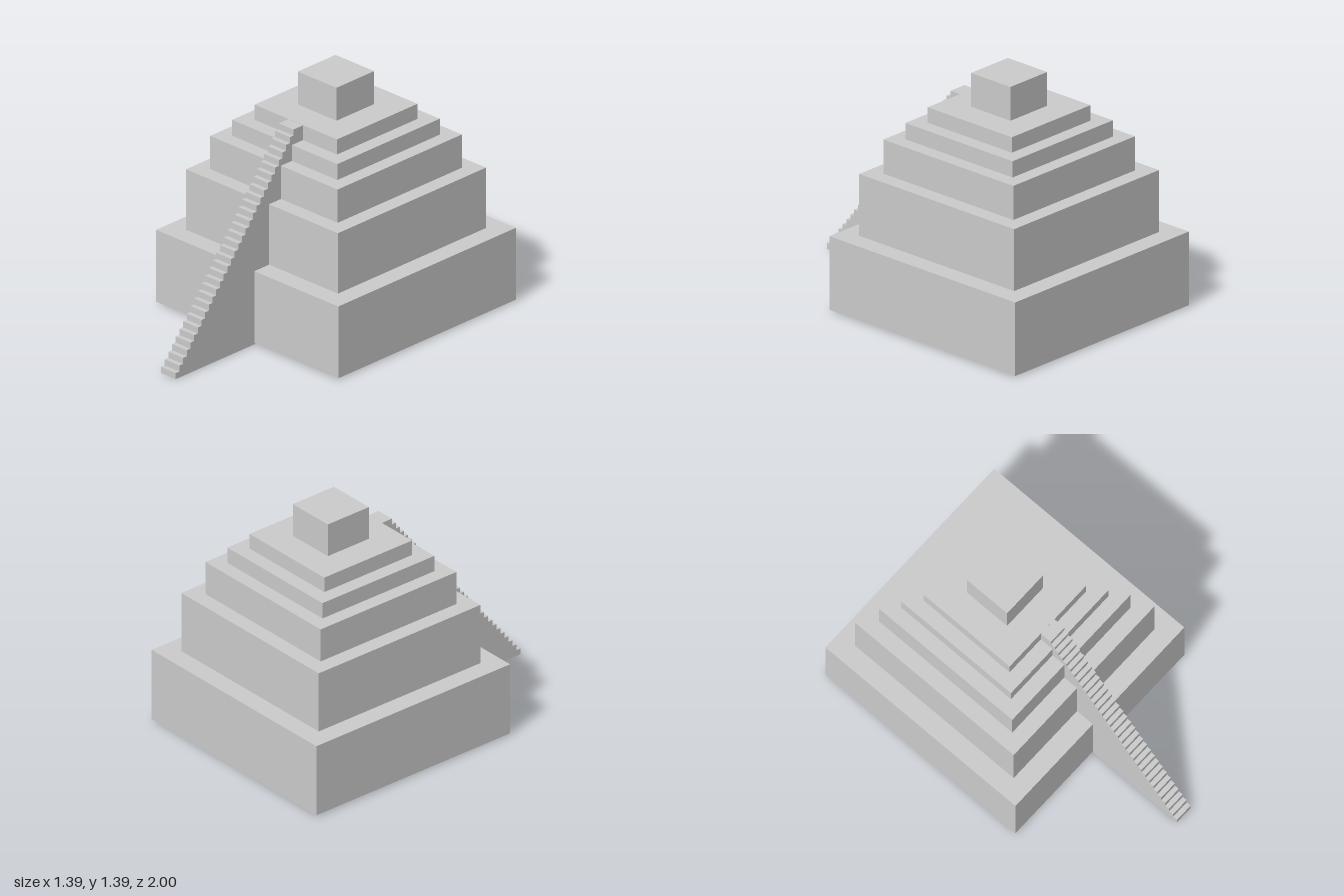
import * as THREE from 'three';

export function createModel() {
  const group = new THREE.Group();
  const material = new THREE.MeshStandardMaterial({ color: 0xcccccc, flatShading: true });
  const centreZ = -0.307;

  // Square terraces and the shrine on top: [half width, bottom, top]
  const tiers = [
    [0.693, 0.008, 0.442],
    [0.578, 0.442, 0.807],
    [0.485, 0.807, 1.008],
    [0.4, 1.008, 1.104],
    [0.314, 1.104, 1.195],
    [0.147, 1.195, 1.394],
  ];
  tiers.forEach(([half, bottom, top], i) => {
    const tier = new THREE.Mesh(new THREE.BoxGeometry(half * 2, top - bottom, half * 2), material);
    tier.position.set(0, (bottom + top) / 2, centreZ);
    tier.name = i === tiers.length - 1 ? 'shrine' : `terrace${i + 1}`;
    group.add(tier);
  });

  // Solid staircase: stepped side profile (x = forward, y = up) extruded across its width
  const steps = 33, height = 1.193, front = 1, landing = 0.08, width = 0.112;
  const rise = height / steps, run = (front - landing) / (steps - 1);
  const profile = new THREE.Shape();
  profile.moveTo(0, 0);
  profile.lineTo(front, 0);
  for (let i = 0; i < steps; i++) {
    const z = front - i * run;
    profile.lineTo(z, (i + 1) * rise);
    profile.lineTo(i === steps - 1 ? 0 : z - run, (i + 1) * rise);
  }
  const stairGeometry = new THREE.ExtrudeGeometry(profile, { depth: width, bevelEnabled: false });
  stairGeometry.translate(0, 0, -width / 2);
  stairGeometry.rotateY(-Math.PI / 2);
  const staircase = new THREE.Mesh(stairGeometry, material);
  staircase.position.x = -0.002;
  staircase.name = 'staircase';
  group.add(staircase);

  return group;
}
